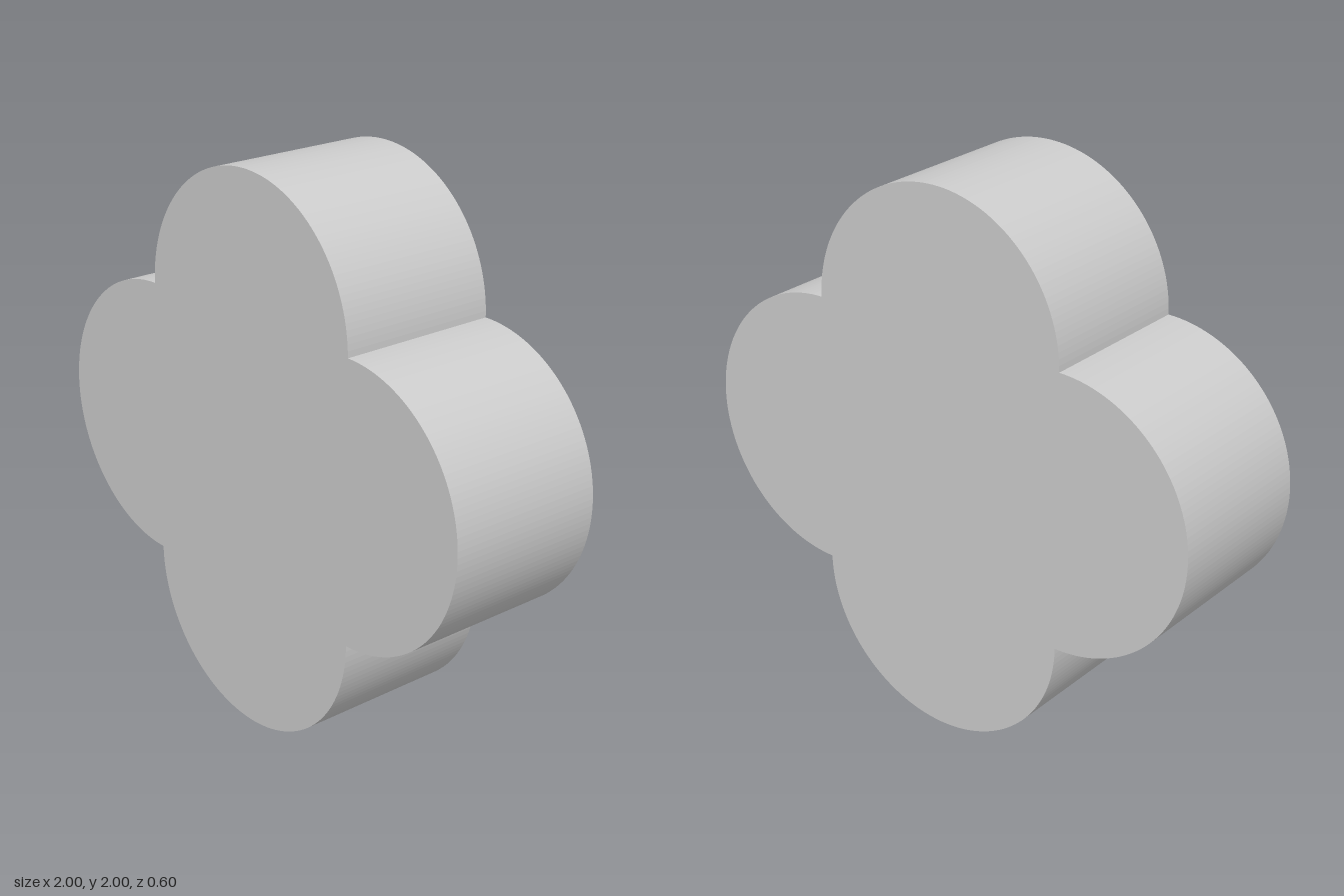
import * as THREE from 'three';

const LOBE = 0.5;   // lobe radius, also its distance from the middle
const DEPTH = 0.6;

export function createModel() {
  const group = new THREE.Group();
  group.name = 'quatrefoilBlock';

  // Outline: four half circles, one on each side of a unit square
  const outline = new THREE.Shape();
  for (let i = 0; i < 4; i++) {
    const a = i * Math.PI / 2;
    outline.absarc(
      LOBE * Math.round(Math.cos(a)), 1 + LOBE * Math.round(Math.sin(a)),
      LOBE, a - Math.PI / 2, a + Math.PI / 2, false
    );
  }

  // Solid block with faceted lobe walls
  const geometry = new THREE.ExtrudeGeometry(outline, {
    depth: DEPTH, bevelEnabled: false, curveSegments: 36,
  });
  geometry.translate(0, 0, -DEPTH / 2);

  const block = new THREE.Mesh(
    geometry,
    new THREE.MeshStandardMaterial({ color: 0xcccccc, flatShading: true })
  );
  block.name = 'fourLobedBlock';
  group.add(block);
  return group;
}
